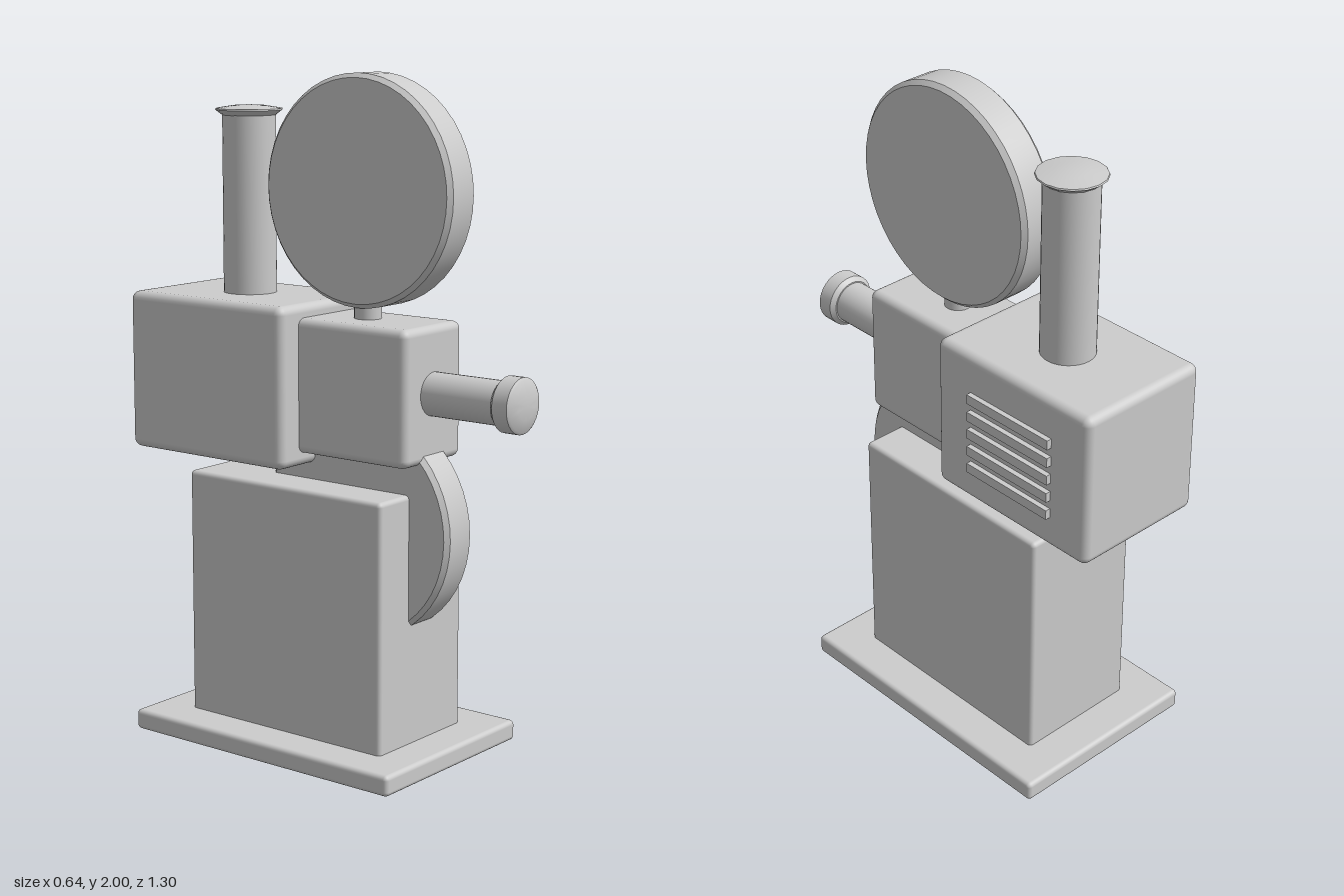
import * as THREE from 'three';
import { toCreasedNormals } from 'three/addons/utils/BufferGeometryUtils.js';
import { RoundedBoxGeometry } from 'three/addons/geometries/RoundedBoxGeometry.js';

export function createModel() {
  const group = new THREE.Group();
  const grey = new THREE.MeshStandardMaterial({ color: 0xcccccc });
  grey.name = 'light grey';

  const add = (name, geometry, x, y, z) => {
    const mesh = new THREE.Mesh(geometry, grey);
    mesh.name = name;
    mesh.position.set(x, y, z);
    group.add(mesh);
    return mesh;
  };

  // Rounded box given by half width and its y and z ranges
  const box = (name, hx, y0, y1, z0, z1, r) =>
    add(name, new RoundedBoxGeometry(hx * 2, y1 - y0, z1 - z0, 3, r), 0, (y0 + y1) / 2, (z0 + z1) / 2);

  // Turned part from [radius, height] pairs, listed bottom to top
  const turned = (profile, sides) => toCreasedNormals(
    new THREE.LatheGeometry(profile.map(([r, h]) => new THREE.Vector2(r, h)), sides), 0.6);

  // Stand and bodies
  box('basePlate', 0.32, 0, 0.062, -0.553, 0.413, 0.014);
  box('pedestal', 0.197, 0.05, 0.808, -0.43, 0.293, 0.014);
  box('filmGate', 0.137, 0.898, 1.296, -0.08, 0.333, 0.024);
  box('lampHousing', 0.218, 0.857, 1.336, -0.65, -0.053, 0.026);

  // Film reels with chamfered rims
  const reel = turned([[0, -0.062], [0.322, -0.062], [0.335, -0.048], [0.335, 0.048], [0.322, 0.062], [0, 0.062]], 48);
  for (const [name, y] of [['upperReel', 1.665], ['lowerReel', 0.69]]) {
    add(name, reel, 0, y, 0.095).rotation.z = Math.PI / 2;
  }
  add('reelNeck', new THREE.CylinderGeometry(0.04, 0.04, 0.1, 20), 0, 1.315, 0.095);

  // Chimney with flared, slightly domed cap
  add('chimney', new THREE.CylinderGeometry(0.08, 0.08, 0.55, 32), 0, 1.595, -0.354);
  add('chimneyCap', turned([[0, 1.864], [0.08, 1.864], [0.101, 1.88], [0.099, 1.884], [0.05, 1.892], [0, 1.895]], 16), 0, 0, -0.354);

  // Lens barrel and head, turned around z
  add('lensBarrel', new THREE.CylinderGeometry(0.064, 0.064, 0.27, 32), 0, 1.1, 0.45).rotation.x = Math.PI / 2;
  add('lensHead', turned([[0, 0.575], [0.068, 0.575], [0.081, 0.588], [0.081, 0.637], [0.074, 0.642], [0.04, 0.65], [0, 0.654]], 32),
    0, 1.1, 0).rotation.x = Math.PI / 2;

  // Cooling vents on the left side of the housing
  for (let i = 0; i < 5; i++) {
    add('vent' + (i + 1), new THREE.BoxGeometry(0.03, 0.03, 0.32), 0.219, 1.204 - i * 0.0575, -0.353);
  }
  return group;
}
